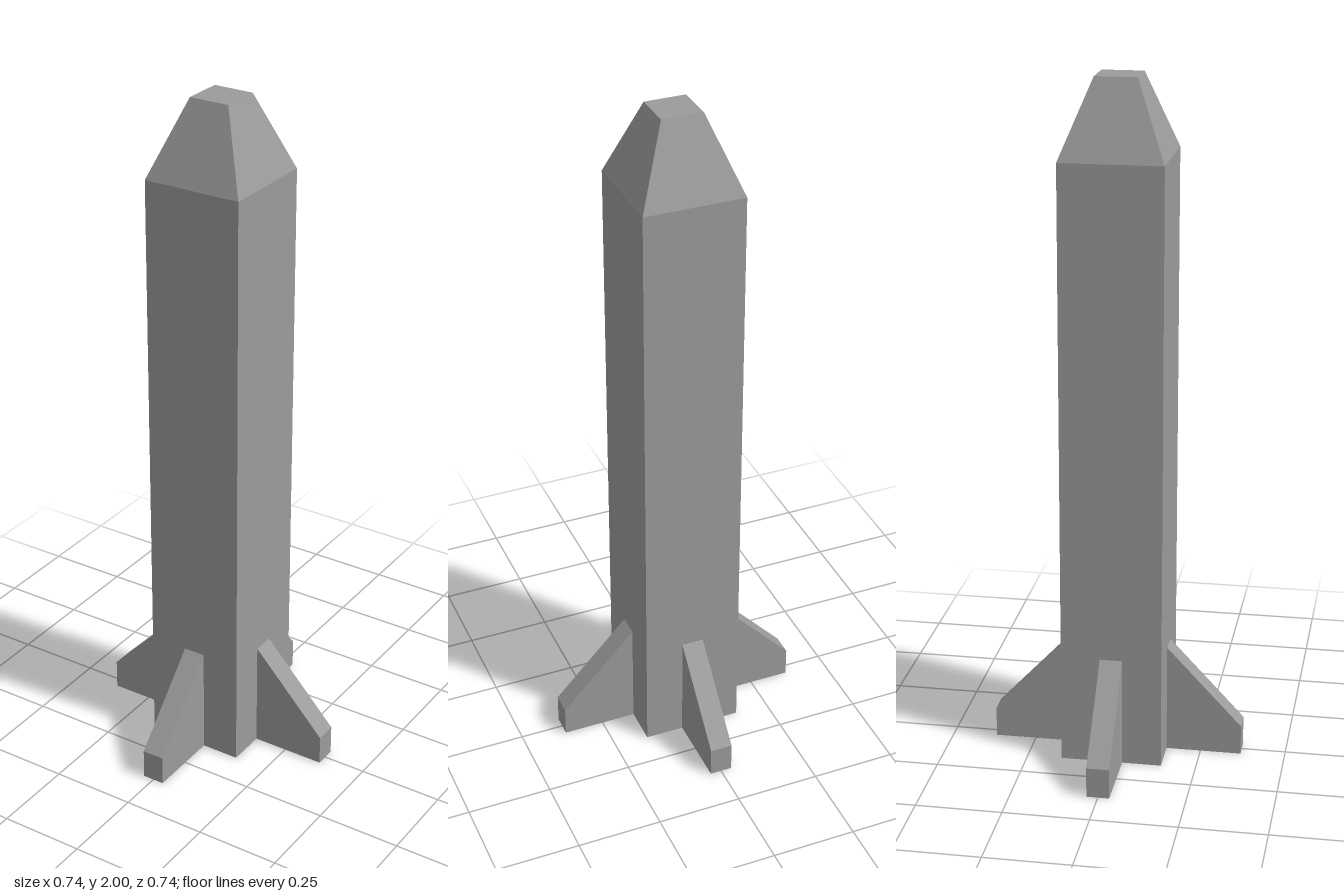
import * as THREE from 'three';

const material = new THREE.MeshStandardMaterial({ color: 0x9b9b9b, flatShading: true });

// Square-section solid: a four-sided lathe, given [half width, height] from bottom to top
function squareLathe(name, profile) {
  const points = profile.map(([half, y]) => new THREE.Vector2(half * Math.SQRT2, y));
  const geometry = new THREE.LatheGeometry(points, 4, Math.PI / 4).toNonIndexed();
  geometry.computeVertexNormals();
  const mesh = new THREE.Mesh(geometry, material);
  mesh.name = name;
  return mesh;
}

export function createModel() {
  const group = new THREE.Group();
  group.name = 'rocket';

  const half = 0.148, shoulder = 1.778, reach = 0.37, thickness = 0.066;

  // Body with a square exhaust recess in its underside
  group.add(squareLathe('body', [
    [0, 0.09], [0.09, 0.09], [0.09, 0], [half, 0], [half, shoulder],
  ]));

  // Blunt tapered nose
  group.add(squareLathe('nose', [[half, shoulder], [0.06, 2], [0, 2]]));

  // Four swept fins, one on each face
  const finShape = new THREE.Shape([
    new THREE.Vector2(half, 0),
    new THREE.Vector2(reach, 0),
    new THREE.Vector2(reach, 0.089),
    new THREE.Vector2(half, 0.326),
  ]);
  const finGeometry = new THREE.ExtrudeGeometry(finShape, { depth: thickness, bevelEnabled: false });
  finGeometry.translate(0, 0, -thickness / 2);
  ['leftFin', 'backFin', 'rightFin', 'frontFin'].forEach((name, i) => {
    const fin = new THREE.Mesh(finGeometry, material);
    fin.name = name;
    fin.rotation.y = i * Math.PI / 2;
    group.add(fin);
  });

  return group;
}
